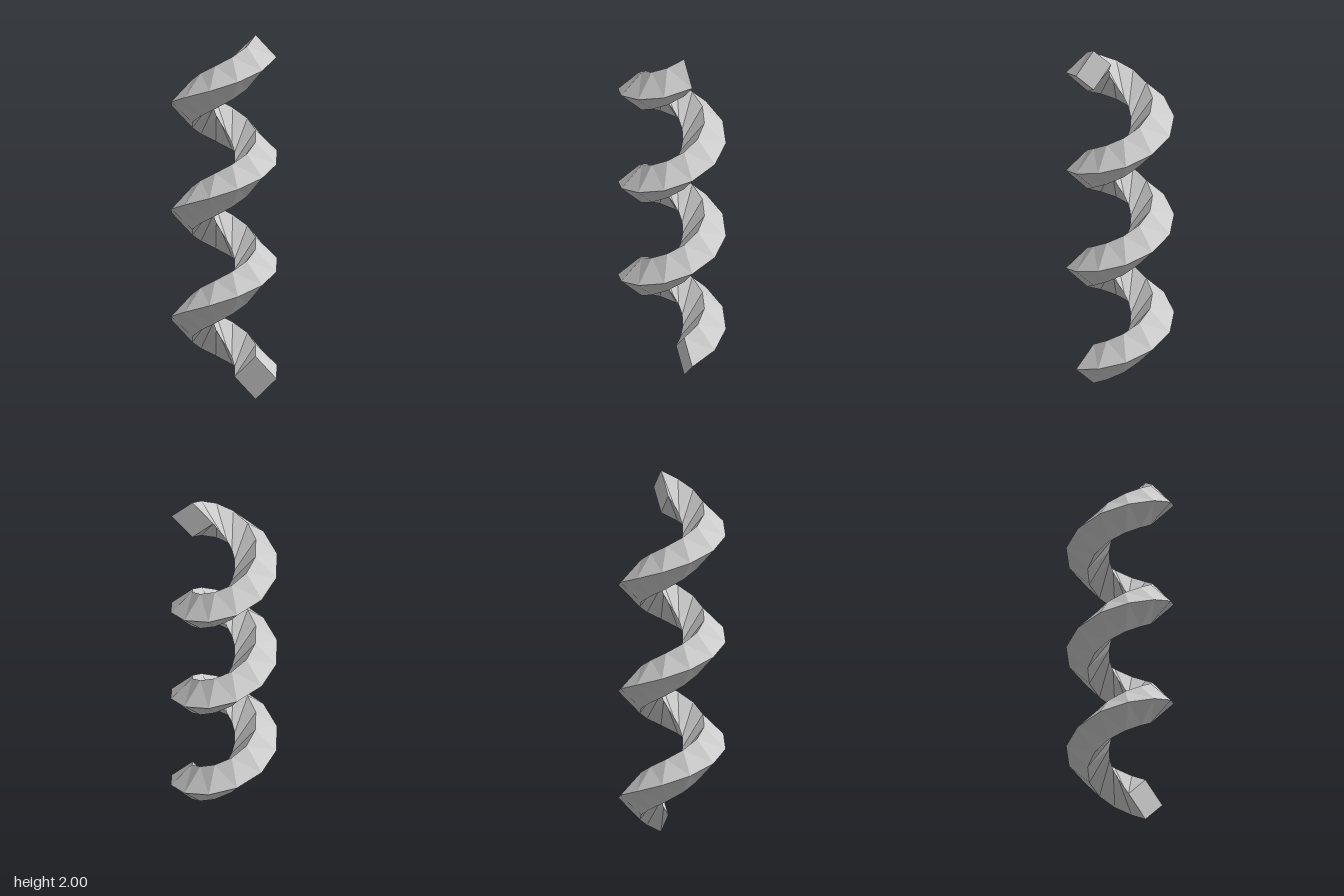
import * as THREE from 'three';

const TURNS = 3, STEPS = 12;      // revolutions, segments per revolution
const SIDES = 4;                  // diamond cross-section
const COIL_R = 0.1765, BAR_R = 0.1176, PITCH = 0.5882;

export function createModel() {
  const positions = [], index = [];
  const rings = TURNS * STEPS;

  // Upright diamond rings climbing along the helix
  for (let i = 0; i <= rings; i++) {
    const a = (i / STEPS) * Math.PI * 2;
    for (let k = 0; k < SIDES; k++) {
      const p = (k / SIDES) * Math.PI * 2;
      const r = COIL_R + BAR_R * Math.cos(p);
      const y = BAR_R + (i / STEPS) * PITCH + BAR_R * Math.sin(p);
      positions.push(r * Math.cos(a), y, -r * Math.sin(a));
    }
  }

  // Side faces joining neighbouring rings
  for (let i = 0; i < rings; i++) {
    for (let k = 0; k < SIDES; k++) {
      const a = i * SIDES + k, b = i * SIDES + ((k + 1) % SIDES);
      const d = a + SIDES, c = b + SIDES;
      index.push(a, d, b, b, d, c);
    }
  }

  // Flat end caps
  const e = rings * SIDES;
  index.push(0, 1, 2, 0, 2, 3);
  index.push(e, e + 2, e + 1, e, e + 3, e + 2);

  const indexed = new THREE.BufferGeometry();
  indexed.setAttribute('position', new THREE.Float32BufferAttribute(positions, 3));
  indexed.setIndex(index);
  const geometry = indexed.toNonIndexed();
  geometry.computeVertexNormals();

  const coil = new THREE.Mesh(
    geometry,
    new THREE.MeshStandardMaterial({ color: 0xcccccc, flatShading: true })
  );
  coil.name = 'helixCoil';

  const group = new THREE.Group();
  group.name = 'helix';
  group.add(coil);
  return group;
}
